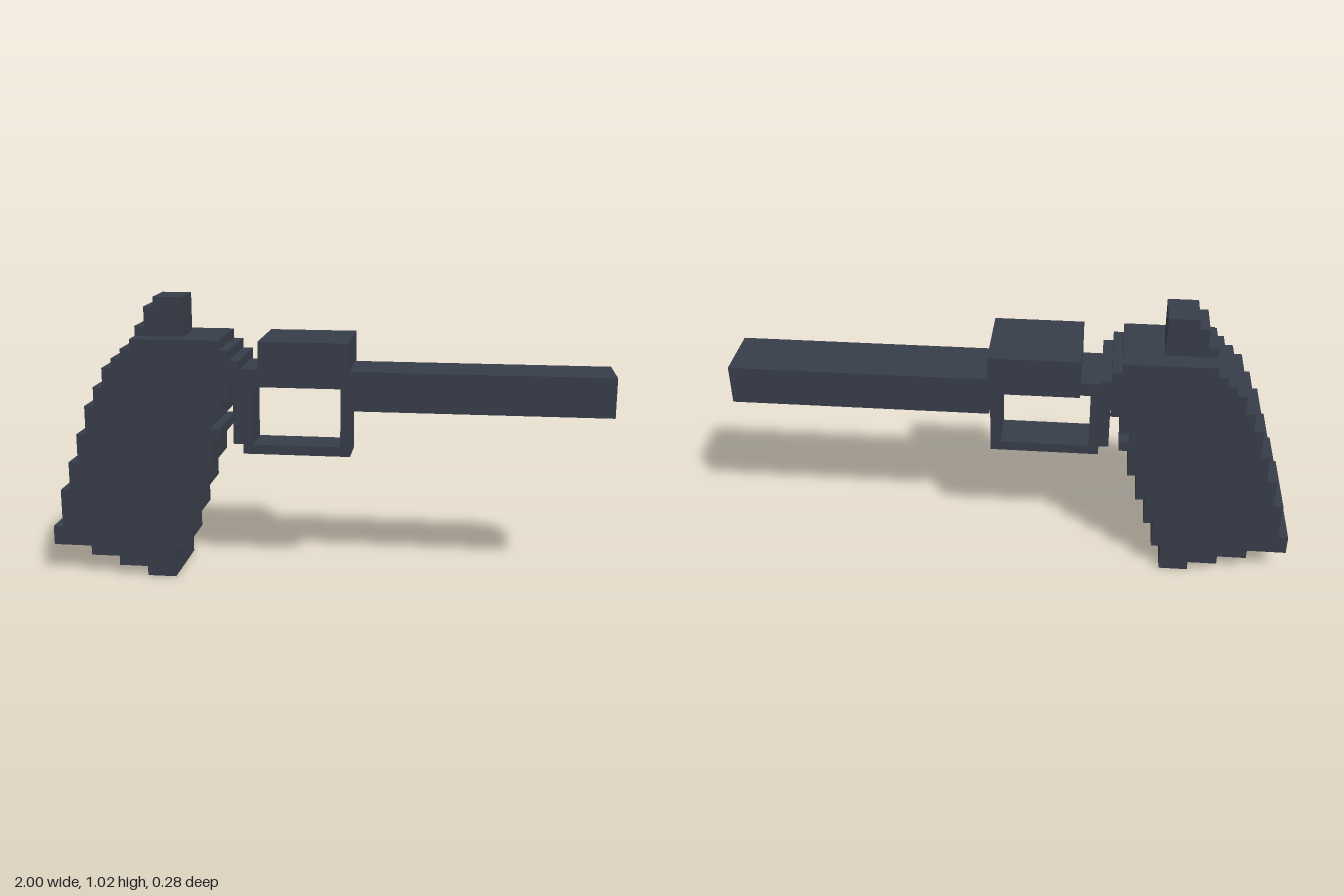
import * as THREE from 'three';

// Everything sits on a block grid 57 units long and 29 high.
const U = 2 / 57;
const MID = 28.5;
const material = new THREE.MeshStandardMaterial({ color: 0x373d49, flatShading: true });

// Flat outline (grid units) extruded from z0 to z1.
function slab(name, points, z0, z1, hole) {
  const toVectors = (list) => list.map(([x, y]) => new THREE.Vector2((x - MID) * U, y * U));
  const shape = new THREE.Shape(toVectors(points));
  if (hole) shape.holes.push(new THREE.Path(toVectors(hole)));
  const geometry = new THREE.ExtrudeGeometry(shape, { depth: (z1 - z0) * U, bevelEnabled: false });
  geometry.translate(0, 0, z0 * U);
  const mesh = new THREE.Mesh(geometry, material);
  mesh.name = name;
  return mesh;
}

// Box between grid corners, centred on z.
function block(name, x0, x1, y0, y1, width) {
  const mesh = new THREE.Mesh(new THREE.BoxGeometry((x1 - x0) * U, (y1 - y0) * U, width * U), material);
  mesh.position.set(((x0 + x1) / 2 - MID) * U, ((y0 + y1) / 2) * U, 0);
  mesh.name = name;
  return mesh;
}

// Steps as [x, yFrom, yTo], turned into outline corners.
const stairs = (steps) => steps.flatMap(([x, a, b]) => [[x, a], [x, b]]);

export function createModel() {
  const group = new THREE.Group();
  group.name = 'blockRevolver';

  // Grip: stepped front and back edges, shared by the cheeks and the core
  const frontEdge = stairs([
    [13, 0, 3], [14, 3, 6], [15, 6, 9], [16, 9, 12], [17, 12, 15], [18, 15, 16],
    [17, 16, 17], [18, 17, 19], [19, 19, 21], [20, 21, 23], [19, 23, 24], [18, 24, 25],
  ]);
  const backEdge = stairs([
    [9, 25, 24], [8, 24, 23], [7, 23, 22], [6, 22, 20], [5, 20, 18],
    [4, 18, 15], [3, 15, 12], [2, 12, 9], [1, 9, 5], [0, 5, 3],
  ]);
  const rim = [[4, 3], [4, 2], [7, 2], [7, 1], [10, 1], [10, 0]];
  const recess = [[1, 3], [1, 4], [4, 4], [4, 3], [7, 3], [7, 2], [10, 2], [10, 1], [12, 1], [12, 0]];
  const cheek = [...frontEdge, ...backEdge, ...rim];
  const grip = new THREE.Group();
  grip.name = 'grip';
  grip.add(
    slab('gripCheekLeft', cheek, 3, 4),
    slab('gripCheekRight', cheek, -4, -3),
    slab('gripCore', [...frontEdge, ...backEdge, ...recess], -3, 3),
  );
  group.add(grip);

  // Hammer
  group.add(slab('hammer', [
    [9, 25], [14, 25], [14, 29], [11, 29], [11, 28], [10, 28], [10, 26], [9, 26],
  ], -2, 2));

  // Frame, cylinder and barrel
  group.add(block('frameBridge', 19, 22, 21, 22, 6));
  group.add(block('cylinder', 22, 31, 21, 25, 8));
  group.add(block('barrel', 31, 57, 18, 22, 6));

  // Trigger guard
  group.add(slab('triggerGuard',
    [[19, 14], [20, 14], [20, 13], [31, 13], [31, 21], [19, 21]], -2, 2,
    [[21, 14], [21, 20], [30, 20], [30, 14]]));

  return group;
}
